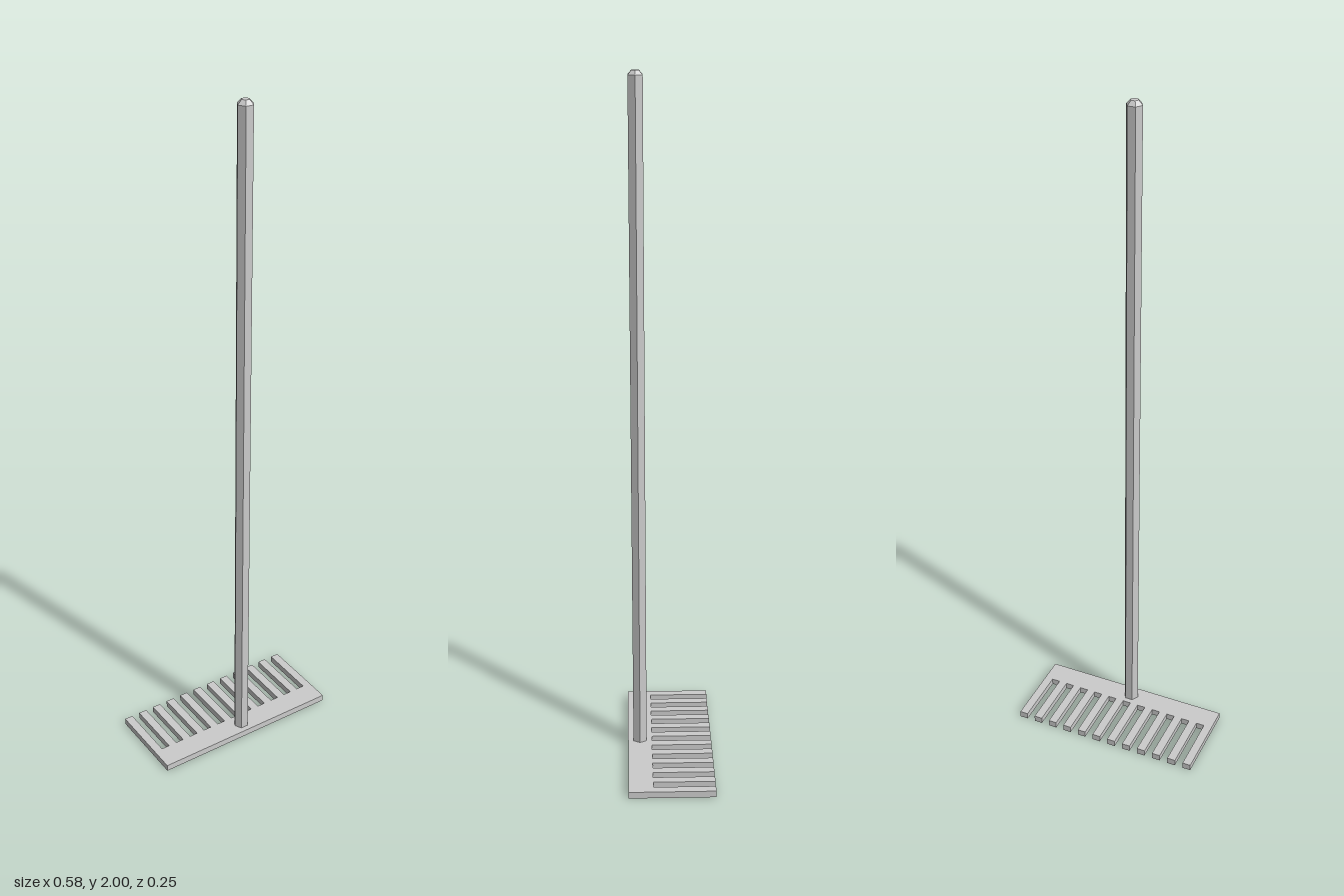
import * as THREE from 'three';

const TEETH = 12;
const HALF_WIDTH = 0.292;
const THICKNESS = 0.02;
const FRONT_Z = 0.125, ROOT_Z = 0.053, TIP_Z = -0.127;

const material = new THREE.MeshStandardMaterial({ color: 0xcccccc, flatShading: true });

// Flat comb plate: a solid bar with evenly spaced teeth pointing back
function createHead() {
  const step = (2 * HALF_WIDTH) / (2 * TEETH - 1);
  const outline = new THREE.Shape();
  outline.moveTo(-HALF_WIDTH, -FRONT_Z);
  outline.lineTo(HALF_WIDTH, -FRONT_Z);
  for (let i = 0; i < TEETH; i++) {
    const right = HALF_WIDTH - 2 * i * step;
    const left = right - step;
    if (i > 0) outline.lineTo(right, -ROOT_Z);
    outline.lineTo(right, -TIP_Z);
    outline.lineTo(left, -TIP_Z);
    if (i < TEETH - 1) outline.lineTo(left, -ROOT_Z);
  }
  outline.closePath();
  const geometry = new THREE.ExtrudeGeometry(outline, { depth: THICKNESS, bevelEnabled: false });
  geometry.rotateX(-Math.PI / 2);
  const head = new THREE.Mesh(geometry, material);
  head.name = 'rakeHead';
  return head;
}

// Six-sided pole with a chamfered top
function createHandle() {
  const profile = [
    [0, 0.005], [0.023, 0.005], [0.023, 1.988], [0.0115, 2], [0, 2],
  ].map(([r, y]) => new THREE.Vector2(r, y));
  const handle = new THREE.Mesh(new THREE.LatheGeometry(profile, 6, Math.PI / 6), material);
  handle.name = 'handle';
  handle.position.z = 0.089;
  return handle;
}

export function createModel() {
  const rake = new THREE.Group();
  rake.name = 'rake';
  rake.add(createHead(), createHandle());
  return rake;
}
